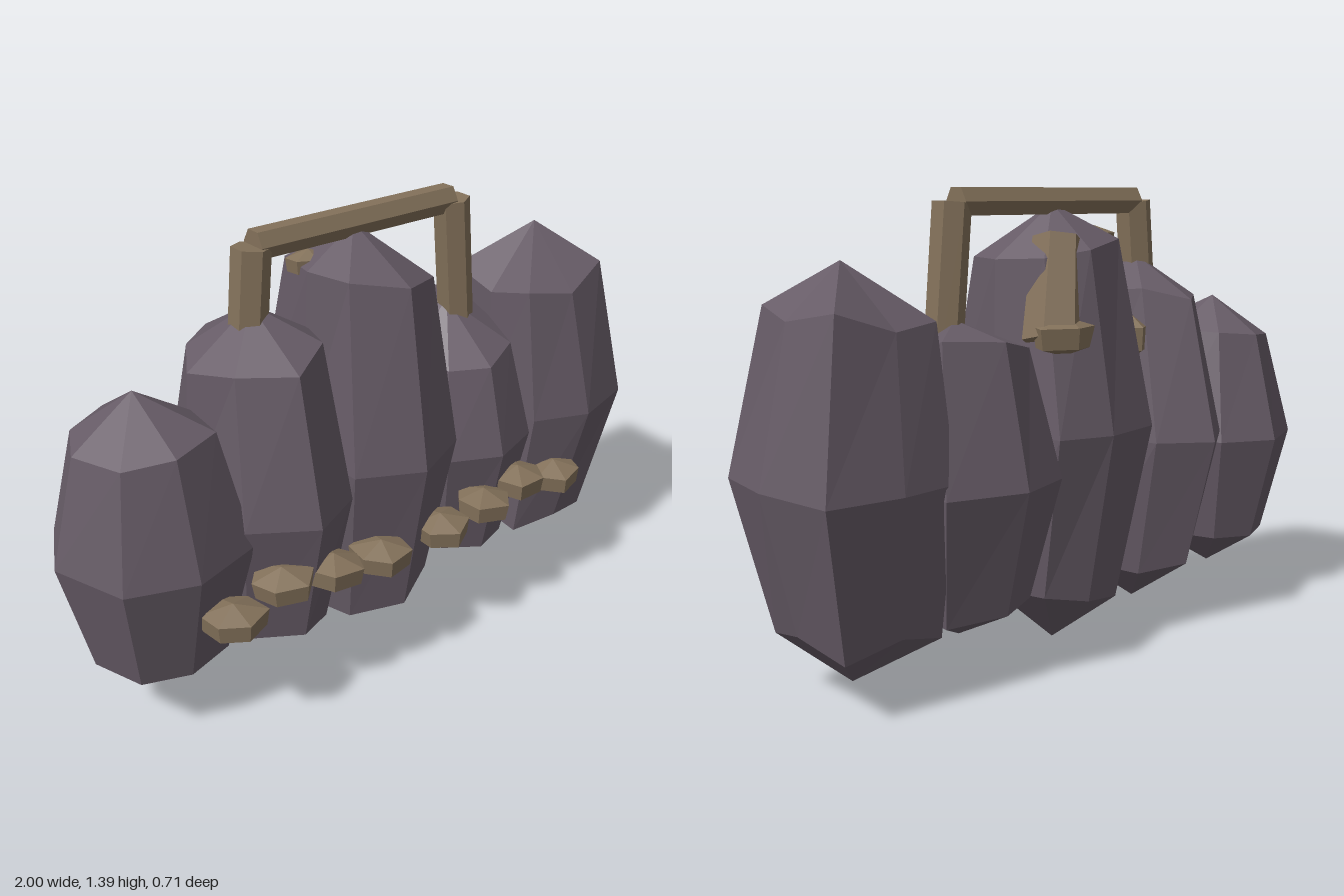
import * as THREE from 'three';

const stone = new THREE.MeshStandardMaterial({ color: 0x665b66 });
stone.name = 'darkStone';
const tan = new THREE.MeshStandardMaterial({ color: 0x83715a });
tan.name = 'tanStone';

// Faceted solid: rings of [x, y, z] points (front, +x, back, -x) closed by two apexes
function facetedSolid(bottom, rings, top) {
  const pos = [];
  const n = rings[0].length;
  const tri = (a, b, c) => pos.push(...a, ...b, ...c);
  for (let j = 0; j < n; j++) {
    const k = (j + 1) % n;
    tri(bottom, rings[0][k], rings[0][j]);
    for (let i = 0; i < rings.length - 1; i++) {
      const a = rings[i], b = rings[i + 1];
      tri(a[j], a[k], b[k]);
      tri(a[j], b[k], b[j]);
    }
    const last = rings[rings.length - 1];
    tri(last[j], last[k], top);
  }
  const geo = new THREE.BufferGeometry();
  geo.setAttribute('position', new THREE.Float32BufferAttribute(pos, 3));
  geo.computeVertexNormals();
  return geo;
}

function add(group, name, geo, mat) {
  const mesh = new THREE.Mesh(geo, mat);
  mesh.name = name;
  group.add(mesh);
  return mesh;
}

// Upright boulder: widest outline in plan, drawn in towards both ends.
// low/high = end ring slopes along x, tilt = top slope along z, dent = uneven ring corners,
// pull = how far the end ring corners are drawn in, shift = end ring offset along x
function boulder({ cx, y, plan, sx, sz, low = 0, high = 0, tilt = 0, dent = 0, pull = 1, shift = 0 }) {
  const [y0, yLow, yMid, yHigh, y1] = y;
  const ring = (h, slope, lean, wave) => plan.map(([x, z], i) => {
    const k = i % 2 ? pull : 1;
    return [cx + shift + (x - cx) * sx * k,
      h + slope * (x - cx) - lean * z + (i % 2 ? 0 : wave),
      z * sz * k];
  });
  return facetedSolid([cx, y0, -0.02],
    [ring(yLow, low, 0, dent), plan.map(([x, z]) => [x, yMid, z]), ring(yHigh, high, tilt, -dent)],
    [cx, y1, -0.02]);
}

// Squat or tall pebble with uneven six-sided rings
function pebble(rx, ry, rz, seed) {
  const ring = (h, k) => Array.from({ length: 6 }, (_, i) => {
    const a = (i / 6) * Math.PI * 2 + seed;
    const r = k * (1 + 0.1 * Math.sin(seed * 7 + i * 2.3));
    return [Math.sin(a) * rx * r, h * ry, Math.cos(a) * rz * r];
  });
  return facetedSolid([0, -ry, 0], [ring(-0.55, 0.92), ring(0.45, 1)], [0, ry, 0]);
}

// Six-sided rod between two points
function rod(from, to, r0, r1) {
  const a = new THREE.Vector3(...from), b = new THREE.Vector3(...to);
  const dir = b.clone().sub(a);
  const geo = new THREE.CylinderGeometry(r1, r0, dir.length(), 6).toNonIndexed();
  geo.computeVertexNormals();
  geo.applyQuaternion(new THREE.Quaternion().setFromUnitVectors(
    new THREE.Vector3(0, 1, 0), dir.normalize()));
  const mid = a.add(b).multiplyScalar(0.5);
  return geo.translate(mid.x, mid.y, mid.z);
}

const BOULDERS = [
  { cx: -0.73, y: [0.1, 0.225, 0.57, 0.91, 1.03], sx: 0.7, sz: 0.7, high: 0.06,
    plan: [[-0.725, 0.27], [-0.51, 0.2], [-0.49, -0.02], [-0.555, -0.22],
      [-0.725, -0.305], [-0.91, -0.22], [-1, -0.03], [-0.92, 0.2]] },
  { cx: -0.35, y: [0.055, 0.19, 0.62, 1.07, 1.18], sx: 0.9, sz: 0.7, low: -0.07, high: 0.1, dent: 0.02, pull: 0.88,
    plan: [[-0.36, 0.315], [-0.19, 0.23], [-0.15, 0], [-0.21, -0.25],
      [-0.36, -0.355], [-0.52, -0.24], [-0.58, -0.04], [-0.54, 0.2]] },
  { cx: 0.01, y: [0, 0.16, 0.68, 1.21, 1.34], sx: 0.9, sz: 0.69, low: 0.15, high: -0.13, pull: 0.88, shift: 0.01,
    plan: [[0.01, 0.325], [0.21, 0.23], [0.225, 0], [0.18, -0.24],
      [0.015, -0.29], [-0.19, -0.25], [-0.2, 0], [-0.18, 0.23]] },
  { cx: 0.38, y: [0.1, 0.21, 0.58, 0.91, 1.02], sx: 0.78, sz: 0.72, low: -0.06, high: 0.1, tilt: 0.2, pull: 0.95,
    plan: [[0.38, 0.265], [0.56, 0.2], [0.59, 0], [0.61, -0.27],
      [0.38, -0.335], [0.2, -0.27], [0.18, 0], [0.22, 0.19]] },
  { cx: 0.75, y: [0.055, 0.18, 0.62, 1.06, 1.2], sx: 0.78, sz: 0.72, high: 0.1, dent: 0.035, shift: -0.04,
    plan: [[0.75, 0.28], [0.97, 0.215], [1, 0], [0.97, -0.265],
      [0.75, -0.285], [0.57, -0.26], [0.55, 0], [0.57, 0.21]] },
];

export function createModel() {
  const model = new THREE.Group();
  model.name = 'boulderCluster';

  // Row of upright boulders
  const boulders = new THREE.Group();
  boulders.name = 'boulders';
  BOULDERS.forEach((b, i) => add(boulders, `boulder${i + 1}`, boulder(b), stone));
  model.add(boulders);

  // Handle: two leaning posts and a crossbar
  const handle = new THREE.Group();
  handle.name = 'handle';
  add(handle, 'rightPost', rod([-0.385, 0.9, -0.01], [-0.345, 1.345, -0.01], 0.056, 0.056), tan);
  add(handle, 'leftPost', rod([0.425, 0.8, -0.01], [0.375, 1.345, -0.01], 0.056, 0.056), tan);
  add(handle, 'crossbar', rod([-0.335, 1.347, -0.015], [0.365, 1.347, -0.015], 0.045, 0.045), tan);
  model.add(handle);

  // String of pebbles across the front
  const pebbles = new THREE.Group();
  pebbles.name = 'frontPebbles';
  [[-0.63, 0.415, 0.265], [-0.455, 0.455, 0.25], [-0.285, 0.435, 0.26], [-0.11, 0.415, 0.265],
    [0.13, 0.415, 0.26], [0.31, 0.435, 0.255], [0.475, 0.455, 0.24], [0.65, 0.415, 0.235],
  ].forEach(([x, y, z], i) => {
    const p = add(pebbles, `pebble${i + 1}`, pebble(0.094, 0.052, 0.087, i * 1.3), tan);
    p.position.set(x, y, z);
    p.rotation.z = 0.06 * Math.sin(i * 2.1);
  });
  model.add(pebbles);

  // Shards wedged around the middle boulder
  const shards = new THREE.Group();
  shards.name = 'shards';
  add(shards, 'backShard', rod([0.14, 0.95, -0.165], [0.06, 1.24, -0.1], 0.09, 0.075), tan);
  [['topShard', -0.115, 1.235, -0.07, 0.07, 0.04, 0.05],
    ['sideShard', 0.235, 0.88, -0.02, 0.045, 0.085, 0.13],
    ['farShard', -0.195, 0.94, -0.15, 0.04, 0.07, 0.06],
    ['lowerShard', 0.11, 0.97, -0.185, 0.12, 0.06, 0.075],
  ].forEach(([name, x, y, z, rx, ry, rz], i) => {
    add(shards, name, pebble(rx, ry, rz, i), tan).position.set(x, y, z);
  });
  model.add(shards);

  return model;
}
